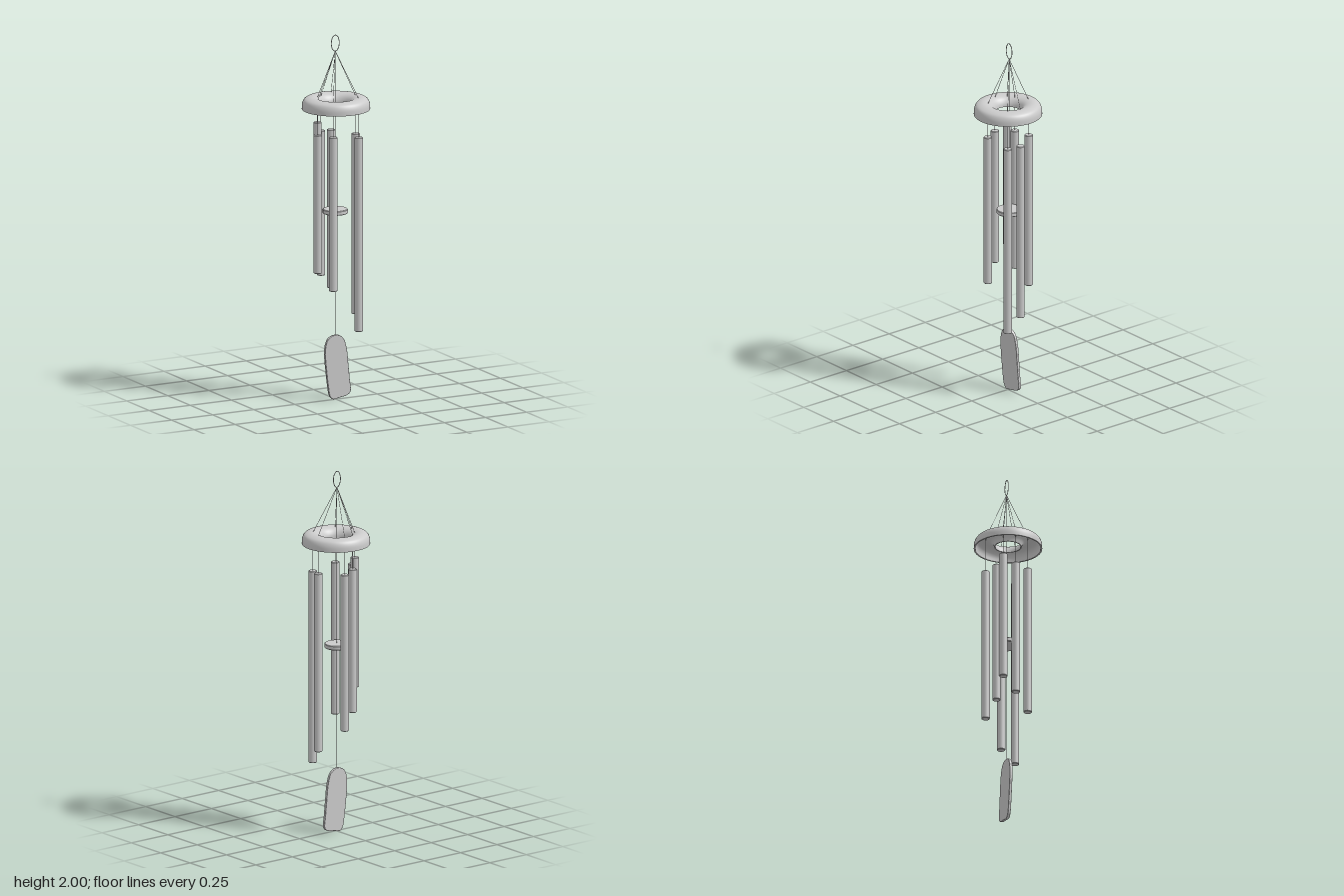
import * as THREE from 'three';

const grey = new THREE.MeshStandardMaterial({ color: 0xcccccc });
const greyDouble = new THREE.MeshStandardMaterial({ color: 0xcccccc, side: THREE.DoubleSide });
const V2 = (x, y) => new THREE.Vector2(x, y);
const V3 = (x, y, z) => new THREE.Vector3(x, y, z);
const HANG_Z = -0.008;

function add(parent, name, geometry, material = grey) {
  const mesh = new THREE.Mesh(geometry, material);
  mesh.name = name;
  parent.add(mesh);
  return mesh;
}

// thin straight cord between two points
function addCord(parent, name, a, b) {
  add(parent, name, new THREE.TubeGeometry(new THREE.LineCurve3(a, b), 1, 0.0012, 6));
}

// x, z, top, bottom of each chime
const chimes = [
  [-0.11, 0.0, 1.465, 0.705],
  [-0.08, -0.06, 1.52, 0.8],
  [-0.045, -0.085, 1.465, 0.67],
  [0.033, -0.116, 1.455, 0.587],
  [0.115, 0.008, 1.45, 0.46],
  [0.095, 0.08, 1.445, 0.38],
  [-0.064, 0.087, 1.465, 0.62],
];

export function createModel() {
  const model = new THREE.Group();
  model.name = 'windChime';

  // oval hanging ring
  const oval = new THREE.EllipseCurve(0, 0, 0.024, 0.044).getPoints(40).slice(0, -1);
  const ovalPath = new THREE.CatmullRomCurve3(oval.map((p) => V3(p.x, p.y, 0)), true);
  add(model, 'hangingRing', new THREE.TubeGeometry(ovalPath, 48, 0.002, 8, true))
    .position.set(0, 1.954, HANG_Z);

  // hollow ring-shaped canopy: rounded outer skin, thin rim, hollow underside
  const outer = new THREE.SplineCurve([
    V2(0.183, 1.596), V2(0.181, 1.625), V2(0.17, 1.648), V2(0.148, 1.659), V2(0.124, 1.661),
    V2(0.1, 1.655), V2(0.083, 1.643), V2(0.072, 1.625), V2(0.068, 1.607),
  ]).getPoints(32);
  const inner = new THREE.SplineCurve([
    V2(0.073, 1.607), V2(0.079, 1.624), V2(0.089, 1.638), V2(0.104, 1.647), V2(0.124, 1.652),
    V2(0.145, 1.65), V2(0.163, 1.64), V2(0.173, 1.621), V2(0.175, 1.596),
  ]).getPoints(32);
  const canopy = new THREE.Group();
  canopy.name = 'canopy';
  model.add(canopy);
  add(canopy, 'canopyOuterSkin', new THREE.LatheGeometry(outer, 64), greyDouble);
  add(canopy, 'canopyInnerSkin', new THREE.LatheGeometry(inner, 64), greyDouble);
  add(canopy, 'canopyRim', new THREE.RingGeometry(0.175, 0.183, 64), greyDouble)
    .rotateX(Math.PI / 2).position.y = 1.596;
  add(canopy, 'canopyLip', new THREE.RingGeometry(0.068, 0.073, 64), greyDouble)
    .rotateX(Math.PI / 2).position.y = 1.607;

  // chimes, each with a cord up through the canopy to the ring
  const R = 0.0225, B = 0.003;
  chimes.forEach(([x, z, top, bottom], i) => {
    const chime = new THREE.Group();
    chime.name = `chime${i + 1}`;
    const h = top - bottom;
    const body = add(chime, 'chimeTube', new THREE.CylinderGeometry(R, R, h - 2 * B, 28, 1, true));
    body.position.set(x, (top + bottom) / 2, z);
    const end = new THREE.CylinderGeometry(R - B, R, B, 28);
    add(chime, 'chimeTopEnd', end).position.set(x, top - B / 2, z);
    const low = add(chime, 'chimeBottomEnd', end);
    low.position.set(x, bottom + B / 2, z);
    low.rotation.x = Math.PI;
    const knot = V3(x, 1.655, z);
    addCord(chime, 'upperCord', V3(0, 1.91, HANG_Z), knot);
    addCord(chime, 'lowerCord', knot, V3(x, top - 0.002, z));
    model.add(chime);
  });

  // centre cord with striker disc
  addCord(model, 'centreCord', V3(0, 1.91, HANG_Z), V3(0, 0.345, HANG_Z));
  const disc = [V2(0, 1.021), V2(0.064, 1.021), V2(0.067, 1.024), V2(0.067, 1.042),
    V2(0.064, 1.045), V2(0, 1.045)];
  // repeated profile corners keep the disc edges crisp
  const crisp = disc.flatMap((p, i) => (i > 0 && i < disc.length - 1 ? [p, p.clone()] : [p]));
  add(model, 'strikerDisc', new THREE.LatheGeometry(crisp, 48)).position.z = HANG_Z;

  // slanted wind paddle
  const inset = 0.003;
  const outline = new THREE.CatmullRomCurve3([
    [-0.036, 0.022], [-0.018, 0.002], [0.025, 0.007], [0.073, 0.017], [0.09, 0.035],
    [0.085, 0.1], [0.076, 0.19], [0.067, 0.27], [0.05, 0.324], [0.025, 0.348], [-0.01, 0.352],
    [-0.042, 0.338], [-0.06, 0.305], [-0.065, 0.25], [-0.056, 0.15], [-0.046, 0.07],
  ].map(([x, y]) => V3(x, y, 0)), true, 'centripetal');
  const shape = new THREE.Shape(outline.getPoints(90).slice(0, -1).map((p) => V2(p.x, p.y)));
  add(model, 'windPaddle', new THREE.ExtrudeGeometry(shape, {
    depth: 0.01, bevelThickness: inset, bevelSize: inset, bevelOffset: -inset, bevelSegments: 3,
  })).position.z = HANG_Z - 0.005;

  return model;
}
